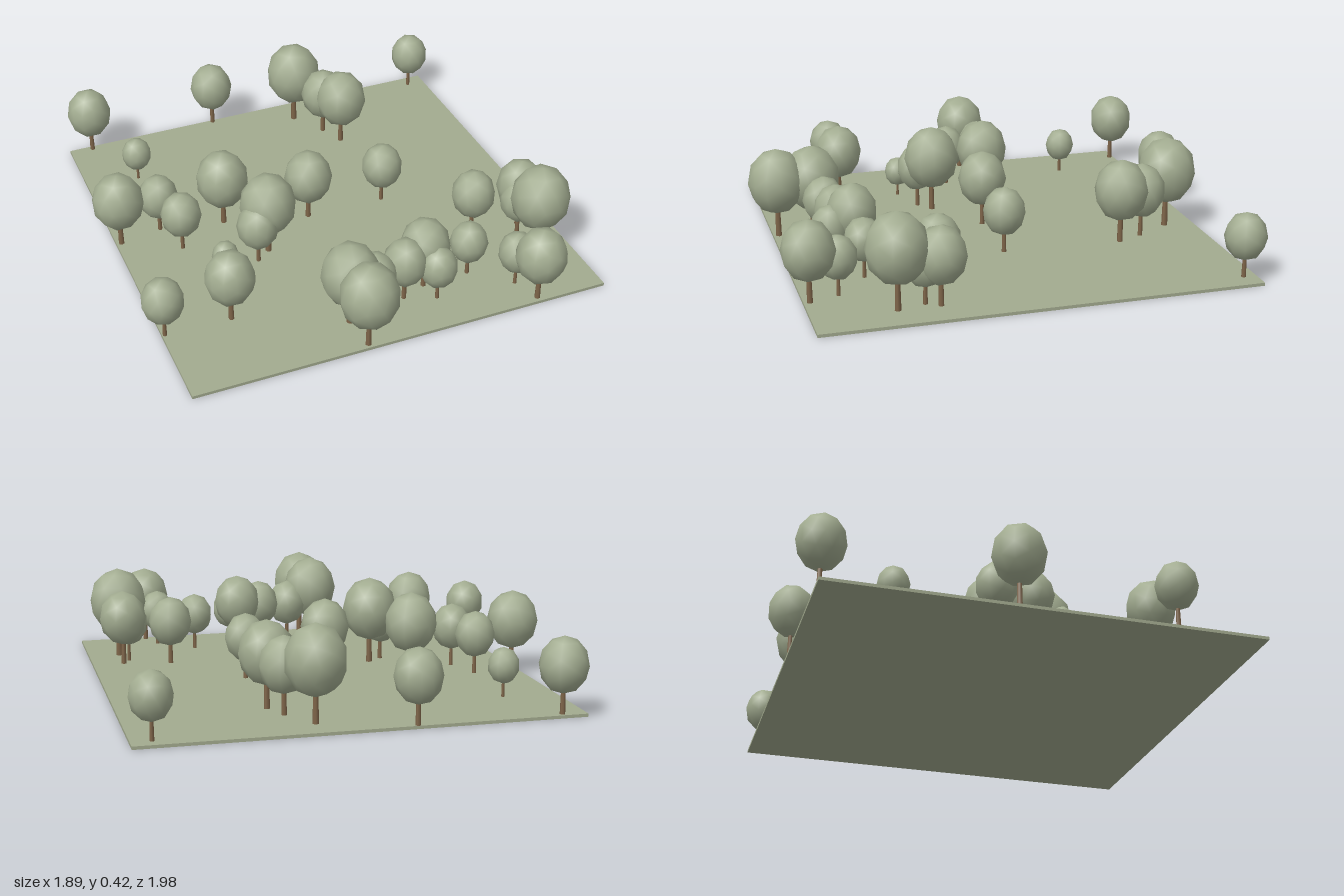
import * as THREE from 'three';

// each tree: x, z, crown radius
const TREES = [
  [-0.76, -0.89, 0.1], [-0.16, -0.9, 0.098], [0.86, -0.855, 0.087],
  [0.215, -0.78, 0.126], [0.305, -0.63, 0.102], [0.35, -0.52, 0.115],
  [-0.63, -0.58, 0.066], [-0.84, -0.135, 0.111], [-0.655, -0.17, 0.087],
  [-0.605, -0.005, 0.088], [-0.38, -0.115, 0.114], [-0.02, -0.015, 0.105],
  [0.33, -0.01, 0.09], [-0.5, 0.255, 0.057], [-0.335, 0.2, 0.09],
  [-0.27, 0.15, 0.121], [-0.85, 0.51, 0.088], [-0.57, 0.515, 0.105],
  [-0.135, 0.715, 0.122], [-0.12, 0.867, 0.123], [-0.015, 0.685, 0.09],
  [0.13, 0.66, 0.093], [0.24, 0.615, 0.105], [0.257, 0.71, 0.08],
  [0.445, 0.61, 0.081], [0.6, 0.345, 0.095], [0.805, 0.385, 0.104],
  [0.775, 0.44, 0.086], [0.805, 0.555, 0.127], [0.6, 0.745, 0.08],
  [0.64, 0.865, 0.108],
];
const GROUND_TOP = 0.013;

// icosahedral ball with shared vertices, for smooth normals
function makeCrownGeometry() {
  const geo = new THREE.IcosahedronGeometry(1, 1);
  geo.setAttribute('normal', geo.attributes.position.clone());
  return geo;
}

export function createModel() {
  const model = new THREE.Group();
  model.name = 'grove';

  const grass = new THREE.MeshStandardMaterial({ color: 0xa3ab8f });
  grass.name = 'grass';
  const foliage = new THREE.MeshStandardMaterial({ color: 0xa3ad91 });
  foliage.name = 'foliage';
  const bark = new THREE.MeshStandardMaterial({ color: 0x80664a });
  bark.name = 'bark';

  // thin square of ground
  const ground = new THREE.Mesh(new THREE.BoxGeometry(1.805, GROUND_TOP, 1.8), grass);
  ground.name = 'ground';
  ground.position.set(0.04, GROUND_TOP / 2, -0.01);
  model.add(ground);

  // unit tree parts, scaled by the crown radius
  const crownGeo = makeCrownGeometry();
  const trunkGeo = new THREE.CylinderGeometry(0.08, 0.11, 1.3, 6);

  TREES.forEach(([x, z, r], i) => {
    const tree = new THREE.Group();
    tree.name = `tree${i + 1}`;

    const trunk = new THREE.Mesh(trunkGeo, bark);
    trunk.name = 'trunk';
    trunk.position.y = 0.65;

    const crown = new THREE.Mesh(crownGeo, foliage);
    crown.name = 'crown';
    crown.position.y = 2;
    crown.scale.y = 1.17;

    tree.add(trunk, crown);
    tree.position.set(x, GROUND_TOP, z);
    tree.rotation.y = i * 2.4; // vary the facing
    tree.scale.setScalar(r);
    model.add(tree);
  });

  return model;
}
